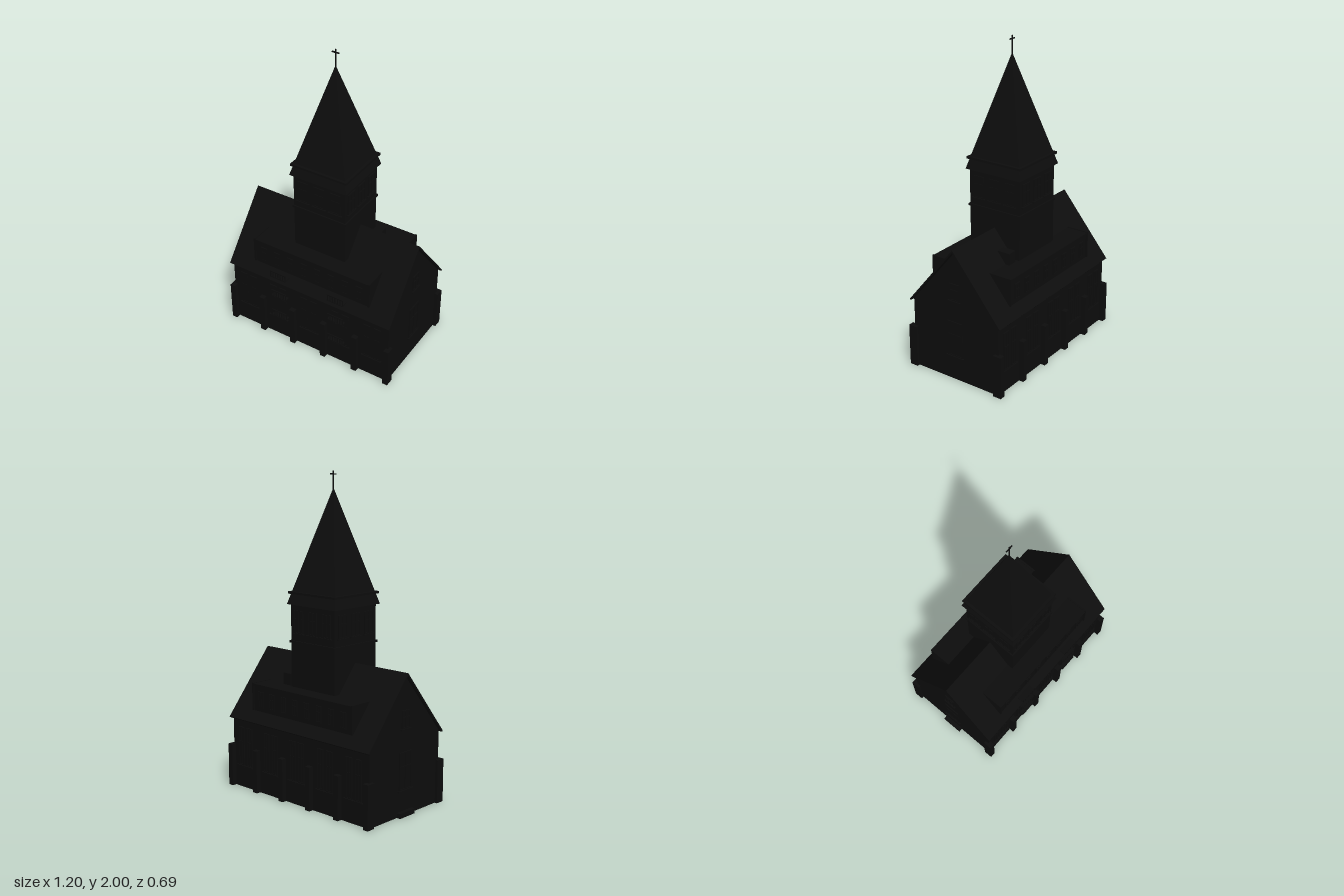
import * as THREE from 'three';

export function createModel() {
  const model = new THREE.Group();
  const mat = new THREE.MeshStandardMaterial({ color: 0x0d0d0d });
  mat.name = 'charcoal';

  const add = (parent, name, geo, x = 0, y = 0, z = 0) => {
    const m = new THREE.Mesh(geo, mat);
    m.name = name;
    m.position.set(x, y, z);
    parent.add(m);
    return m;
  };
  // Box given by its minimum and maximum corners
  const box = (parent, name, x0, x1, y0, y1, z0, z1) =>
    add(parent, name, new THREE.BoxGeometry(x1 - x0, y1 - y0, z1 - z0), (x0 + x1) / 2, (y0 + y1) / 2, (z0 + z1) / 2);
  // Profile in (z, y) extruded along x and centred
  const alongX = (name, pts, length) => {
    const shape = new THREE.Shape(pts.map(([z, y]) => new THREE.Vector2(-z, y)));
    const geo = new THREE.ExtrudeGeometry(shape, { depth: length, bevelEnabled: false });
    geo.translate(0, 0, -length / 2).rotateY(Math.PI / 2);
    return add(model, name, geo);
  };
  // Framed window standing on z = 0 of its own group, facing +z
  const makeWindow = (parent, name, w, h, x, y, z, turn = 0, sill = true) => {
    const g = new THREE.Group();
    g.name = name;
    box(g, 'pane', -w / 2, w / 2, 0, h, -0.002, 0.002);
    const t = 0.007, d = 0.006;
    for (const s of [-1, 0, 1]) {
      const c = s * (w / 2 - t / 2);
      box(g, 'frameUpright', c - t / 2, c + t / 2, 0, h, 0, d);
    }
    for (const f of [0, 0.62, 1]) box(g, 'frameBar', -w / 2, w / 2, f * (h - t), f * (h - t) + t, 0, d);
    if (sill) box(g, 'sill', -w / 2 - 0.01, w / 2 + 0.01, -0.008, 0, 0, 0.012);
    g.position.set(x, y, z);
    g.rotation.y = turn;
    parent.add(g);
  };

  // Nave walls with gables
  alongX('naveWalls', [[0.315, 0], [0.315, 0.455], [0, 0.835], [-0.315, 0.455], [-0.315, 0]], 1.155);

  // Thin overhanging gable roof
  alongX('roof', [[0.337, 0.45], [0, 0.86], [-0.337, 0.45], [-0.33, 0.443], [0, 0.845], [0.33, 0.443]], 1.185);

  // Buttresses along both long walls
  for (const s of [-1, 1]) {
    for (const x of [-0.577, -0.345, -0.112, 0.119, 0.351, 0.58]) {
      const b = box(model, 'buttress', x - 0.018, x + 0.018, 0, 0.272, 0.29, 0.346);
      if (s < 0) b.position.z *= -1;
    }
  }

  // Tall paired windows in every bay
  for (const s of [-1, 1])
    for (const x of [-0.46, -0.23, 0.004, 0.235, 0.465])
      for (const dx of [-0.037, 0.037])
        makeWindow(model, 'naveWindow', 0.05, 0.25, x + dx, 0.145, s * 0.315, s > 0 ? 0 : Math.PI);

  // Gable end windows
  for (const s of [-1, 1]) {
    makeWindow(model, 'gableWindow', 0.11, 0.23, s * 0.5775, 0.16, 0, s * Math.PI / 2);
    makeWindow(model, 'atticWindow', 0.07, 0.11, s * 0.5775, 0.53, 0, s * Math.PI / 2);
  }
  box(model, 'doorStep', -0.603, -0.57, 0, 0.03, -0.07, 0.065);

  // Long flat-topped dormers with end fins and rows of windows
  for (const s of [-1, 1]) {
    const d = alongX('dormer', [[0.285, 0.5], [0.285, 0.67], [0.12, 0.67], [0.12, 0.5]], 0.82);
    const lid = box(model, 'dormerRoof', -0.415, 0.415, 0.67, 0.686, 0.13, 0.292);
    if (s < 0) { d.rotation.y = Math.PI; lid.position.z *= -1; }
    for (const x of [-0.418, 0.418]) {
      const fin = box(model, 'dormerFin', x - 0.006, x + 0.006, 0.515, 0.69, 0.14, 0.292);
      if (s < 0) fin.position.z *= -1;
    }
    for (let i = 0; i < 8; i++)
      makeWindow(model, 'dormerWindow', 0.045, 0.1, -0.35 + i * 0.1, 0.54, s * 0.285, s > 0 ? 0 : Math.PI, false);
  }

  // Small front balconies: thin floor, rail and corner posts
  for (const x of [-0.208, 0.215]) {
    for (const [y, z] of [[0.49, 0.28], [0.335, 0.31], [0.17, 0.31]]) {
      box(model, 'balconyFloor', x - 0.057, x + 0.057, y, y + 0.006, z, 0.348);
      box(model, 'balconyRail', x - 0.057, x + 0.057, y + 0.042, y + 0.049, 0.342, 0.348);
      for (let i = 0; i < 7; i++) {
        const px = x - 0.054 + i * 0.018;
        box(model, 'balconyBar', px - 0.003, px + 0.003, y, y + 0.045, 0.343, 0.347);
      }
    }
  }

  // Roof hatch behind the tower
  box(model, 'roofHatch', 0.205, 0.267, 0.6, 0.76, -0.17, -0.07);

  // Tower shaft, string course and belfry
  box(model, 'towerShaft', -0.182, 0.182, 0.4, 1.21, -0.182, 0.182);
  box(model, 'stringCourse', -0.19, 0.19, 0.963, 0.977, -0.19, 0.19);
  for (let k = 0; k < 4; k++) {
    const side = new THREE.Group();
    side.name = 'belfrySide';
    side.rotation.y = k * Math.PI / 2;
    for (const x of [-0.115, 0, 0.115]) makeWindow(side, 'belfryWindow', 0.075, 0.14, x, 1.025, 0.182);
    model.add(side);
  }

  // Pyramid spire with a narrow ledge
  const spire = new THREE.ConeGeometry(0.2 * Math.SQRT2, 0.7, 4, 1).toNonIndexed();
  spire.rotateY(Math.PI / 4);
  spire.computeVertexNormals();
  add(model, 'spire', spire, 0, 1.55, 0);
  box(model, 'spireLedge', -0.195, 0.195, 1.264, 1.278, -0.195, 0.195);

  // Cross at the peak
  box(model, 'crossPost', -0.003, 0.003, 1.88, 2, -0.003, 0.003);
  box(model, 'crossArm', -0.024, 0.024, 1.976, 1.983, -0.003, 0.003);

  return model;
}
